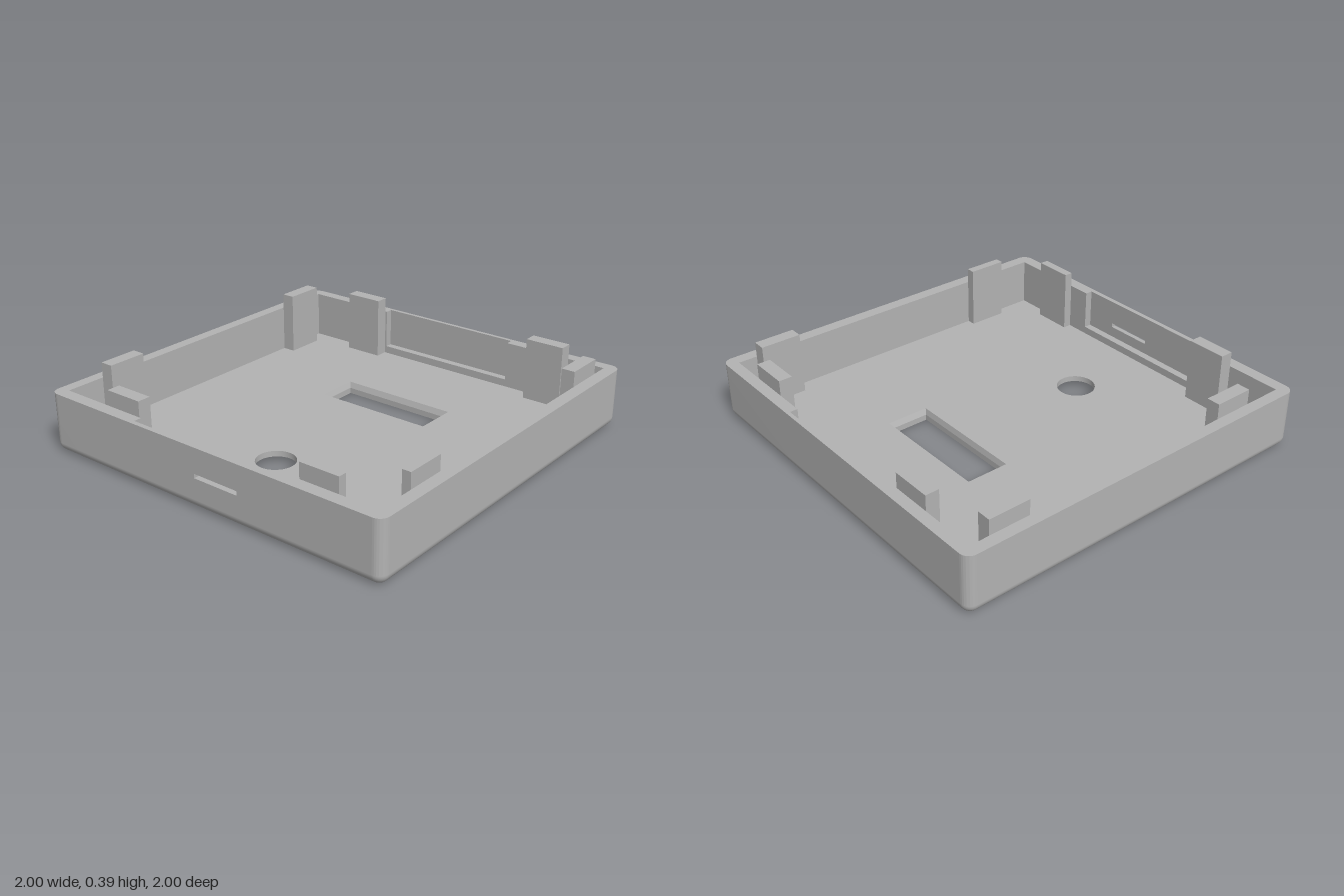
import * as THREE from 'three';
import { toCreasedNormals } from 'three/addons/utils/BufferGeometryUtils.js';

const R = 0.05;        // corner and bottom-edge radius
const TOP = 0.31;      // rim height
const FLOOR = 0.06;    // top of the floor
const SILL = 0.1;      // bottom of the wall pockets
const STEP = 0.03;     // depth of the round recess underneath

const rect = (x0, x1, z0, z1, Type = THREE.Shape) => new Type([
  [x0, z0], [x1, z0], [x1, z1], [x0, z1]].map(([x, z]) => new THREE.Vector2(x, z)));

const circle = (x, z, r) => new THREE.Path().absarc(x, z, r, 0, Math.PI * 2, false);

// Horizontal slab from a plan shape drawn in x and z
function slab(shape, y0, y1) {
  const g = new THREE.ExtrudeGeometry(shape, { depth: y1 - y0, bevelEnabled: false, curveSegments: 24 });
  return g.rotateX(Math.PI / 2).translate(0, y1, 0);
}

// Rounded bottom edge: quarter-round swept along the rounded rectangle
function roundedEdge() {
  const pos = [], nor = [], idx = [], steps = 8, loop = [];
  [[1, 1], [-1, 1], [-1, -1], [1, -1]].forEach(([sx, sz], q) => {
    for (let i = 0; i <= steps; i++) loop.push([sx, sz, (q + i / steps) * Math.PI / 2]);
  });
  const n = loop.length;
  for (let j = 0; j <= steps; j++) {
    const a = (j / steps) * Math.PI / 2;
    for (const [sx, sz, t] of loop) {
      const v = [Math.cos(t) * Math.sin(a), -Math.cos(a), Math.sin(t) * Math.sin(a)];
      nor.push(...v);
      pos.push(sx * (1 - R) + v[0] * R, R + v[1] * R, sz * (1 - R) + v[2] * R);
    }
  }
  for (let j = 0; j < steps; j++) for (let i = 0; i < n; i++) {
    const k = (i + 1) % n, a = j * n + i, b = j * n + k;
    idx.push(a, a + n, b, b, a + n, b + n);
  }
  const g = new THREE.BufferGeometry();
  g.setAttribute('position', new THREE.Float32BufferAttribute(pos, 3));
  g.setAttribute('normal', new THREE.Float32BufferAttribute(nor, 3));
  g.setIndex(idx);
  return g;
}

// Plan of the walls: a ring with a pocket at the back and a gap at the front
function wallPlan() {
  const s = new THREE.Shape(), c = 1 - R, h = Math.PI / 2;
  s.moveTo(0.4, 1);
  s.lineTo(c, 1);
  s.absarc(c, c, R, h, 0, true);
  s.absarc(c, -c, R, 0, -h, true);
  s.absarc(-c, -c, R, -h, -2 * h, true);
  s.absarc(-c, c, R, 2 * h, h, true);
  [[-0.43, 1], [-0.43, 0.935], [-0.94, 0.935], [-0.94, -0.94], [-0.43, -0.94], [-0.43, -0.98],
    [0.37, -0.98], [0.37, -0.94], [0.935, -0.94], [0.935, 0.935], [0.4, 0.935]]
    .forEach(([x, z]) => s.lineTo(x, z));
  return s;
}

export function createModel() {
  const group = new THREE.Group();
  const gray = new THREE.MeshStandardMaterial({ color: 0xb3b3b3 });
  gray.name = 'plain gray';
  const add = (name, geometry) => {
    const m = new THREE.Mesh(geometry, gray);
    m.name = name;
    group.add(m);
  };
  const box = (name, x0, x1, y0, y1, z0, z1) => add(name,
    new THREE.BoxGeometry(x1 - x0, y1 - y0, z1 - z0)
      .translate((x0 + x1) / 2, (y0 + y1) / 2, (z0 + z1) / 2));

  // Floor in two layers: wide round recess below, small hole above, window through both
  const c = 1 - R;
  const layer = (radius) => {
    const s = rect(-c, c, -c, c);
    s.holes.push(rect(-0.31, 0.31, -0.455, -0.25, THREE.Path), circle(0, 0.5, radius));
    return s;
  };
  add('lowerFloor', toCreasedNormals(slab(layer(0.34), 0, STEP), 0.5));

  // The upper rim of the window flares outward
  const upper = slab(layer(0.1), STEP, FLOOR);
  const p = upper.attributes.position;
  for (let i = 0; i < p.count; i++) {
    const x = p.getX(i), z = p.getZ(i);
    if (p.getY(i) > FLOOR - 0.01 && Math.abs(x) < 0.32 && z < -0.2 && z > -0.5) {
      p.setX(i, x + Math.sign(x) * 0.012);
      p.setZ(i, z + (z < -0.35 ? -0.012 : 0.008));
    }
  }
  add('upperFloor', toCreasedNormals(upper, 0.5));

  // Walls
  add('bottomEdge', roundedEdge());
  add('walls', toCreasedNormals(slab(wallPlan(), R, TOP), 0.5));
  const panel = rect(-0.43, 0.4, R, TOP);
  panel.holes.push(rect(-0.03, 0.225, 0.158, 0.18, THREE.Path));
  add('slottedFrontPanel', new THREE.ExtrudeGeometry(panel, { depth: 0.025, bevelEnabled: false })
    .translate(0, 0, 0.975));
  box('frontPocketSill', -0.43, 0.4, R, SILL, 0.935, 0.975);
  box('backPocketSill', -0.43, 0.37, R, SILL, -0.98, -0.94);

  // Upright tabs along the walls: x0, x1, z0, z1
  [
    [-0.65, -0.44, -0.94, -0.87], [0.525, 0.735, -0.94, -0.87],
    [-0.65, -0.44, 0.865, 0.935], [0.525, 0.735, 0.89, 0.935],
    [-0.94, -0.87, -0.84, -0.625], [-0.94, -0.87, 0.515, 0.725],
    [0.865, 0.935, -0.84, -0.625], [0.89, 0.935, 0.515, 0.725],
  ].forEach(([x0, x1, z0, z1], i) => box(`tab${i + 1}`, x0, x1, FLOOR, 0.39, z0, z1));

  return group;
}
